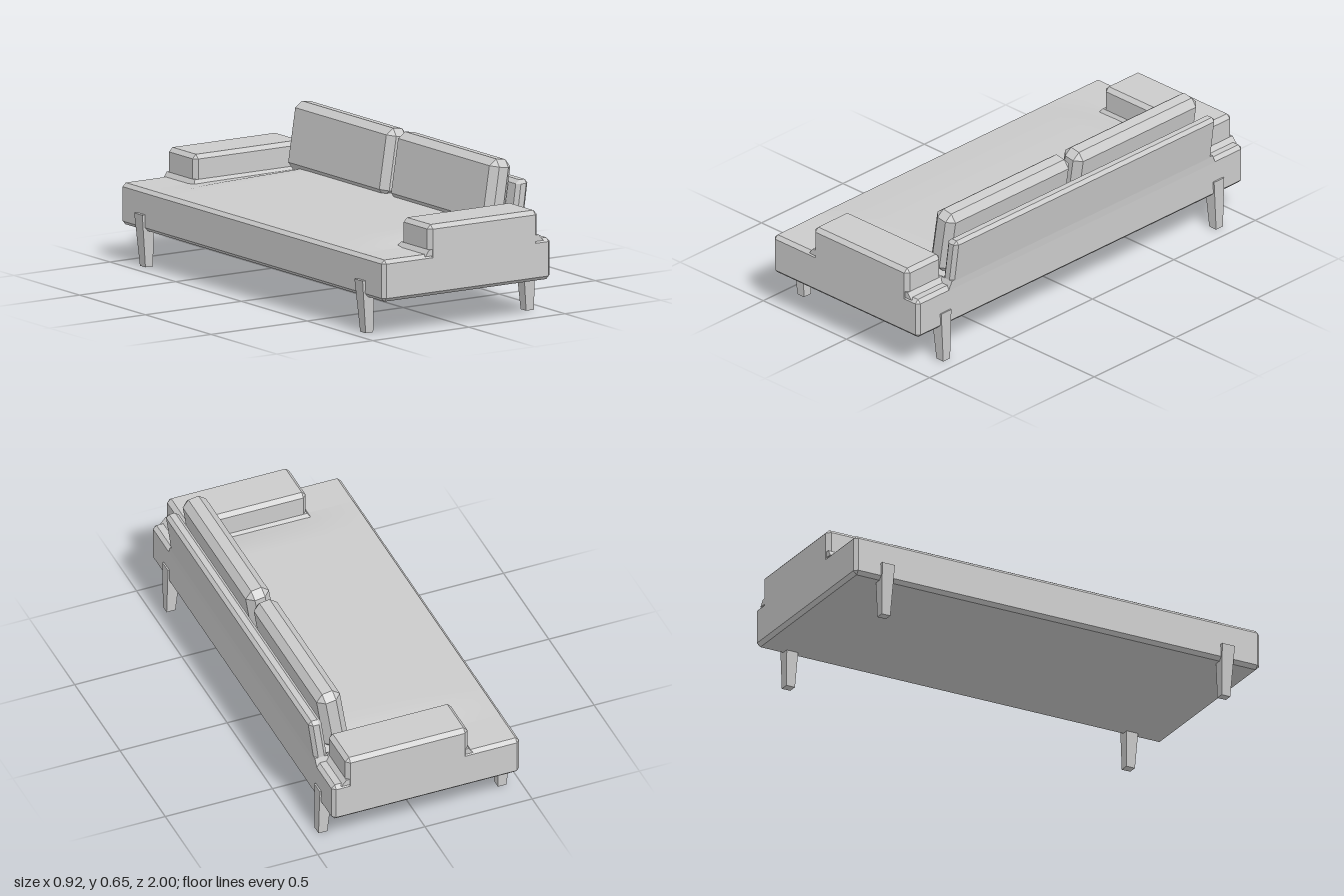
import * as THREE from 'three';
import { ConvexGeometry } from 'three/addons/geometries/ConvexGeometry.js';

const flat = new THREE.MeshStandardMaterial({ color: 0xcccccc, flatShading: true });
const smooth = new THREE.MeshStandardMaterial({ color: 0xcccccc, side: THREE.DoubleSide });

export function createModel() {
  const model = new THREE.Group();
  const V = (x, y, z) => new THREE.Vector3(x, y, z);

  const addHull = (name, points) => {
    const mesh = new THREE.Mesh(new ConvexGeometry(points), flat);
    mesh.name = name;
    model.add(mesh);
    return mesh;
  };

  // Box with chamfered edges; lean shifts x in proportion to height above the bottom
  const chamferBox = (name, [x0, x1], [y0, y1], [z0, z1], c, lean = 0) => {
    const pts = [];
    for (const sx of [0, 1]) for (const sy of [0, 1]) for (const sz of [0, 1])
      for (let axis = 0; axis < 3; axis++) {
        const inset = (lo, hi, s, a) => (s ? hi : lo) + (a === axis ? 0 : s ? -c : c);
        const y = inset(y0, y1, sy, 1);
        pts.push(V(inset(x0, x1, sx, 0) + lean * (y - y0), y, inset(z0, z1, sz, 2)));
      }
    return addHull(name, pts);
  };

  // Tapered block between two horizontal rectangles [x0, x1, z0, z1]
  const taper = (name, yLow, low, yHigh, high) => {
    const pts = [];
    for (const [y, r] of [[yLow, low], [yHigh, high]])
      for (const x of [r[0], r[1]]) for (const z of [r[2], r[3]]) pts.push(V(x, y, z));
    return addHull(name, pts);
  };

  // Base
  chamferBox('base', [-0.445, 0.43], [0.16, 0.343], [-1, 1], 0.016);

  // Seat surface, gently rising toward the back and easing down at both ends
  const seatGeo = new THREE.PlaneGeometry(0.81, 1.62, 8, 24);
  seatGeo.rotateX(-Math.PI / 2);
  seatGeo.translate(-0.025, 0, 0);
  const p = seatGeo.attributes.position;
  for (let i = 0; i < p.count; i++) {
    const x = p.getX(i);
    const ends = 1 - THREE.MathUtils.smoothstep(Math.abs(p.getZ(i)), 0.65, 0.81);
    const rise = x < -0.2 ? (x + 0.43) * 0.087 : 0.02 + (x + 0.2) * 0.027;
    p.setY(i, 0.3435 + rise * ends);
  }
  seatGeo.computeVertexNormals();
  const seat = new THREE.Mesh(seatGeo, smooth);
  seat.name = 'seat';
  model.add(seat);

  // Armrests with a sloped foot where they meet the base
  for (const s of [-1, 1]) {
    const side = s > 0 ? 'left' : 'right';
    const zs = (a, b) => (s > 0 ? [a, b] : [-b, -a]);
    chamferBox(side + 'Armrest', [-0.205, 0.365], [0.29, 0.47], zs(0.785, 1), 0.018);
    taper(side + 'ArmrestFoot',
      0.335, [-0.225, 0.39, ...zs(0.765, 0.998)],
      0.363, [-0.205, 0.365, ...zs(0.785, 0.998)]);
  }

  // Leaning backrest panel and its sloped foot
  chamferBox('backrest', [0.365, 0.425], [0.31, 0.56], [-0.808, 0.793], 0.016, 0.135);
  taper('backrestFoot',
    0.325, [0.36, 0.43, -0.825, 0.812],
    0.365, [0.373, 0.432, -0.808, 0.793]);

  // Two loose back cushions, tilted with the backrest
  for (const [name, z0, z1] of [['leftCushion', 0.01, 0.766], ['rightCushion', -0.773, -0.018]]) {
    const cushion = chamferBox(name, [-0.055, 0.055], [-0.15, 0.15], [z0, z1], 0.031);
    cushion.rotation.z = -0.155;
    cushion.position.set(0.324, 0.503, 0);
  }

  // Tapered legs overlapping the front and back faces of the base
  for (const [side, z] of [['left', 0.833], ['right', -0.843]]) {
    taper(side + 'FrontLeg',
      0, [-0.437, -0.398, z - 0.021, z + 0.021],
      0.233, [-0.46, -0.398, z - 0.031, z + 0.031]);
    taper(side + 'BackLeg',
      0, [0.398, 0.439, z - 0.021, z + 0.021],
      0.233, [0.376, 0.437, z - 0.031, z + 0.031]);
  }

  return model;
}
